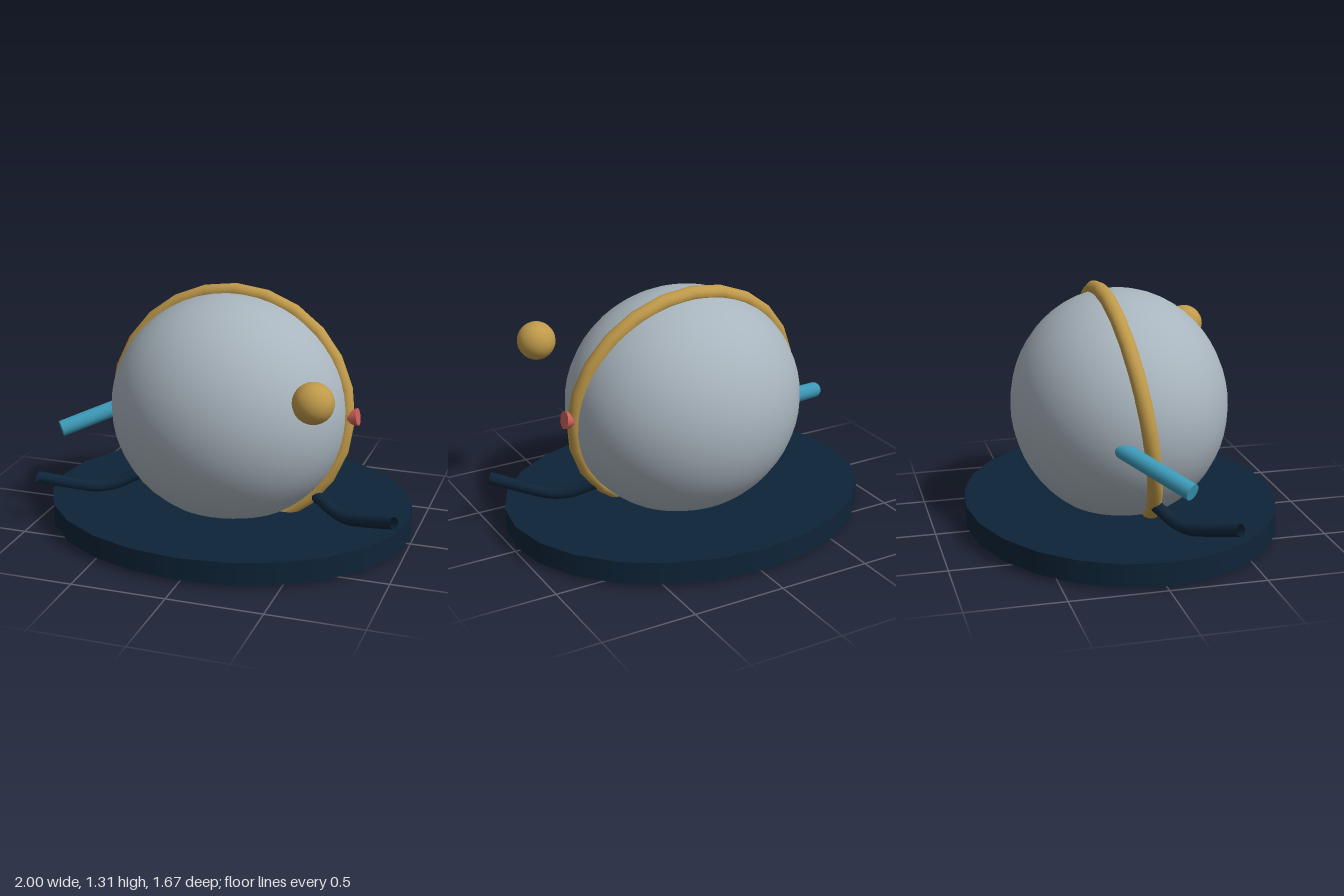
import * as THREE from 'three';

const paint = (name, color) => {
  const m = new THREE.MeshStandardMaterial({ color });
  m.name = name;
  return m;
};

export function createModel() {
  const model = new THREE.Group();
  const silver = paint('silver', 0xa9b5be);
  const gold = paint('gold', 0xc09a4a);
  const navy = paint('navy', 0x0e2438);
  const teal = paint('teal', 0x3c9ab8);
  const red = paint('red', 0xcb6058);
  navy.side = THREE.DoubleSide;

  const add = (name, geometry, material, x = 0, y = 0, z = 0) => {
    const mesh = new THREE.Mesh(geometry, material);
    mesh.name = name;
    mesh.position.set(x, y, z);
    model.add(mesh);
    return mesh;
  };
  // straight round bar between two points, with its own end radii
  const bar = (name, a, b, rA, rB, sides, material) => {
    const from = new THREE.Vector3(...a), to = new THREE.Vector3(...b);
    const dir = to.clone().sub(from);
    const mesh = add(name, new THREE.CylinderGeometry(rB, rA, dir.length(), sides), material);
    mesh.position.copy(from).add(to).multiplyScalar(0.5);
    mesh.quaternion.setFromUnitVectors(new THREE.Vector3(0, 1, 0), dir.normalize());
    return mesh;
  };

  // oval base plate
  add('basePlate', new THREE.CylinderGeometry(1, 1, 0.12, 24), navy, 0, 0.083, 0)
    .scale.set(0.993, 1, 0.833);

  // slightly squashed main body
  add('body', new THREE.SphereGeometry(1, 40, 28), silver, 0, 0.657, 0)
    .scale.set(0.642, 0.61, 0.574);

  // tilted ring around the body
  const ring = add('ring', new THREE.TorusGeometry(0.64, 0.041, 12, 24), gold, 0, 0.655, 0);
  ring.scale.set(1, 0.973, 1);
  ring.rotation.x = -0.158;

  // floating ball
  add('ball', new THREE.SphereGeometry(0.104, 24, 16), gold, 0.6, 0.919, 0.54);

  // stud on the side of the ring
  bar('stud', [0.63, 0.666, 0], [0.697, 0.678, 0], 0.034, 0.047, 12, red);

  // spout rising out of the right side
  bar('spout', [-0.52, 0.617, -0.185], [-0.935, 0.468, 0.128], 0.044, 0.044, 16, teal);

  // curved arms, mirrored
  for (const s of [1, -1]) {
    const path = new THREE.CatmullRomCurve3([
      [0.47, 0.25, 0.06], [0.53, 0.228, 0.09], [0.61, 0.193, 0.135],
      [0.7, 0.183, 0.19], [0.79, 0.205, 0.245], [0.98, 0.268, 0.36],
    ].map(([x, y, z]) => new THREE.Vector3(s * x, y, z)));
    add(s > 0 ? 'leftArm' : 'rightArm', new THREE.TubeGeometry(path, 20, 0.032, 10), navy);
  }
  return model;
}
